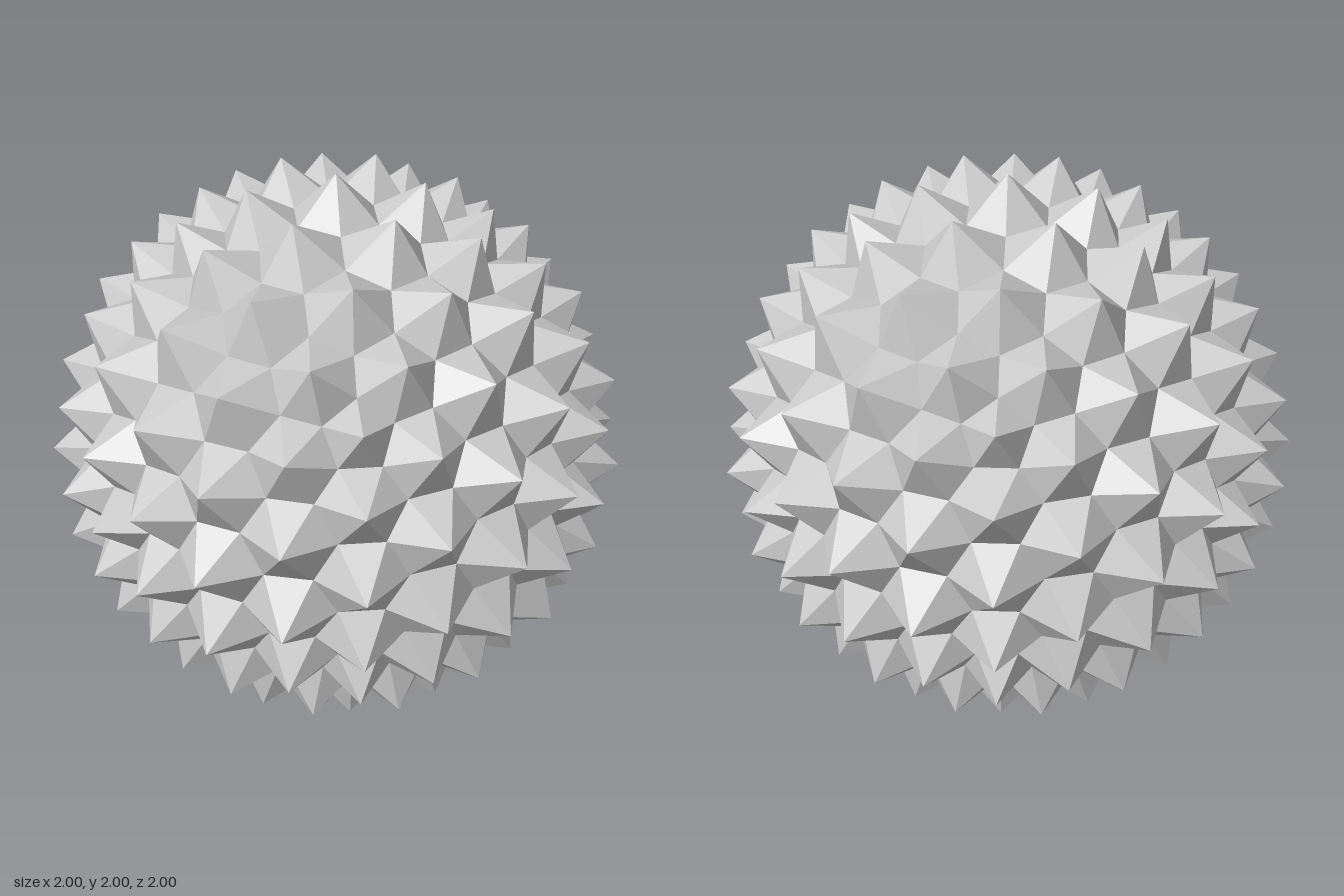
import * as THREE from 'three';

const TIP_RADIUS = 1;
const BASE_RADIUS = 0.86;

// Spiked ball: a pyramid on every hexagon and pentagon of a geodesic dual sphere
function spikedSphereGeometry() {
  const pos = new THREE.IcosahedronGeometry(TIP_RADIUS, 3).getAttribute('position');
  const key = (v) => v.toArray().map((n) => Math.round(n * 1e4) + 0).join(',');

  // Triangle corners are spike tips; triangle centres are the valley points
  const cells = [];
  const centreOfEdge = new Map();
  for (let i = 0; i < pos.count; i += 3) {
    const tips = [0, 1, 2].map((k) => new THREE.Vector3().fromBufferAttribute(pos, i + k));
    const centre = new THREE.Vector3().add(tips[0]).add(tips[1]).add(tips[2]).setLength(BASE_RADIUS);
    cells.push({ tips, centre });
    tips.forEach((a, k) => centreOfEdge.set(key(a) + '|' + key(tips[(k + 1) % 3]), centre));
  }

  // One spike side per directed edge: tip, centre across the edge, own centre
  const points = [];
  for (const { tips, centre } of cells) {
    tips.forEach((a, k) => {
      const across = centreOfEdge.get(key(tips[(k + 1) % 3]) + '|' + key(a));
      points.push(a, across, centre);
    });
  }
  const geometry = new THREE.BufferGeometry().setFromPoints(points);
  geometry.computeVertexNormals();
  return geometry;
}

export function createModel() {
  const group = new THREE.Group();
  group.name = 'spikedBall';
  const material = new THREE.MeshStandardMaterial({ color: 0xcccccc, flatShading: true });
  const ball = new THREE.Mesh(spikedSphereGeometry(), material);
  ball.name = 'spikes';
  ball.position.y = TIP_RADIUS;
  group.add(ball);
  return group;
}
